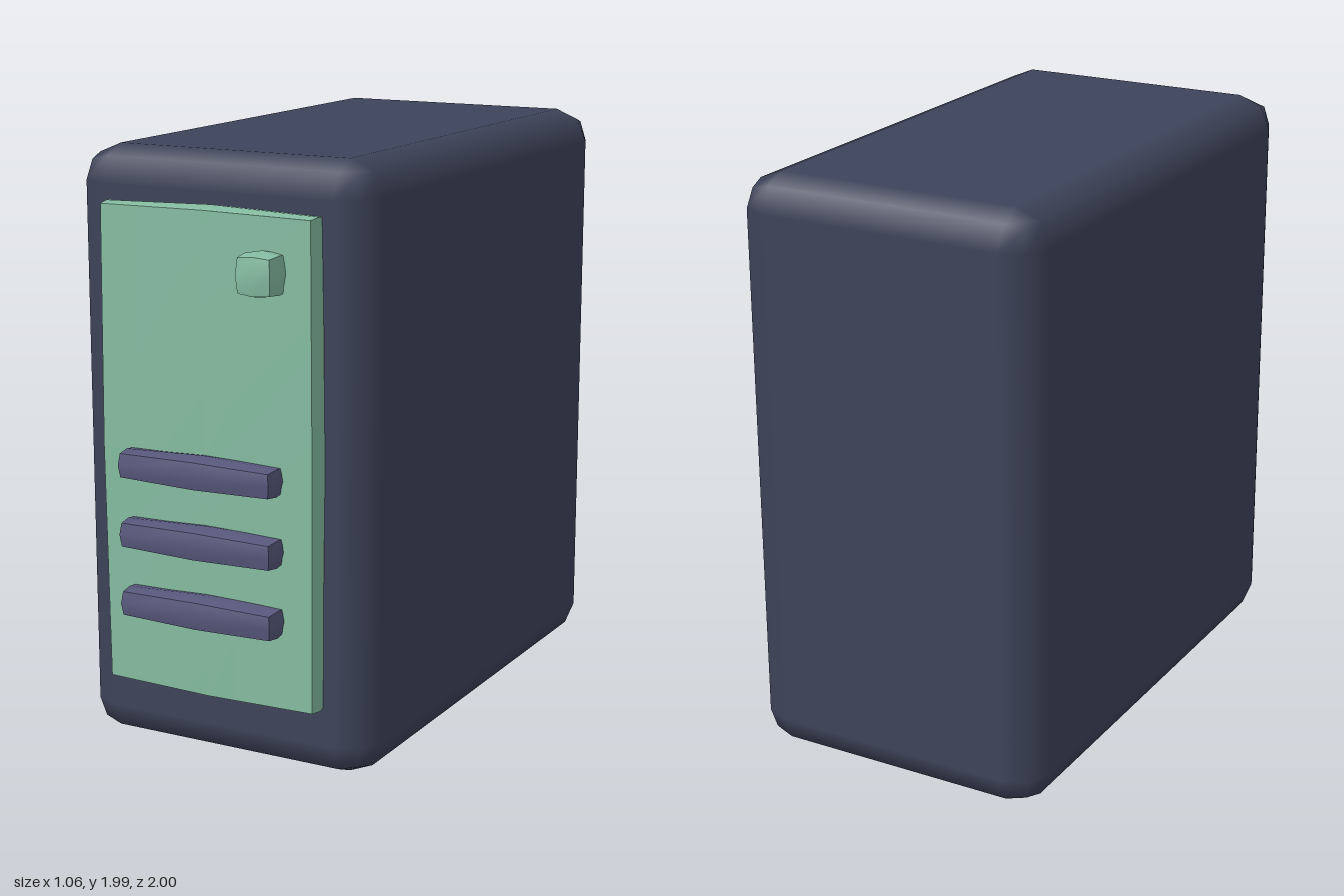
import * as THREE from 'three';
import { RoundedBoxGeometry } from 'three/addons/geometries/RoundedBoxGeometry.js';

const material = (name, color) => {
  const m = new THREE.MeshStandardMaterial({ color });
  m.name = name;
  return m;
};

// Box whose faces swell towards their middles: each vertex sits on a small
// sphere of radius r around the matching point of an inner box.
function pillowBox(w, h, d, r = 0.04) {
  const geo = new THREE.BoxGeometry(2, 2, 2, 2, 2, 2);
  const inner = new THREE.Vector3(w / 2 - r, h / 2 - r, d / 2 - r);
  const pos = geo.attributes.position;
  const p = new THREE.Vector3();
  for (let i = 0; i < pos.count; i++) {
    p.fromBufferAttribute(pos, i);
    const n = p.clone().normalize().multiplyScalar(r);
    p.multiply(inner).add(n);
    pos.setXYZ(i, p.x, p.y, p.z);
  }
  geo.computeVertexNormals(); // smooth within a face, sharp between faces
  return geo;
}

export function createModel() {
  const model = new THREE.Group();
  model.name = 'computerTower';
  const caseBlue = material('caseDarkBlue', 0x3d4359);
  const panelGreen = material('panelGreen', 0x86bda2);
  const ventPurple = material('ventPurple', 0x57587c);

  const add = (name, geo, mat, x, y, z) => {
    const mesh = new THREE.Mesh(geo, mat);
    mesh.name = name;
    mesh.position.set(x, y, z);
    model.add(mesh);
  };

  // Rounded case
  add('case', new RoundedBoxGeometry(1.064, 1.99, 1.83, 1, 0.115), caseBlue, 0, 0.995, -0.085);

  // Front panel and power button
  add('frontPanel', pillowBox(0.79, 1.605, 0.12), panelGreen, 0, 1.035, 0.855);
  add('powerButton', pillowBox(0.145, 0.145, 0.145), panelGreen, 0.226, 1.65, 0.926);

  // Vent bars
  [1.0, 0.77, 0.54].forEach((y, i) => {
    add('ventBar' + (i + 1), pillowBox(0.575, 0.112, 0.13), ventPurple, 0, y, 0.934);
  });

  return model;
}
